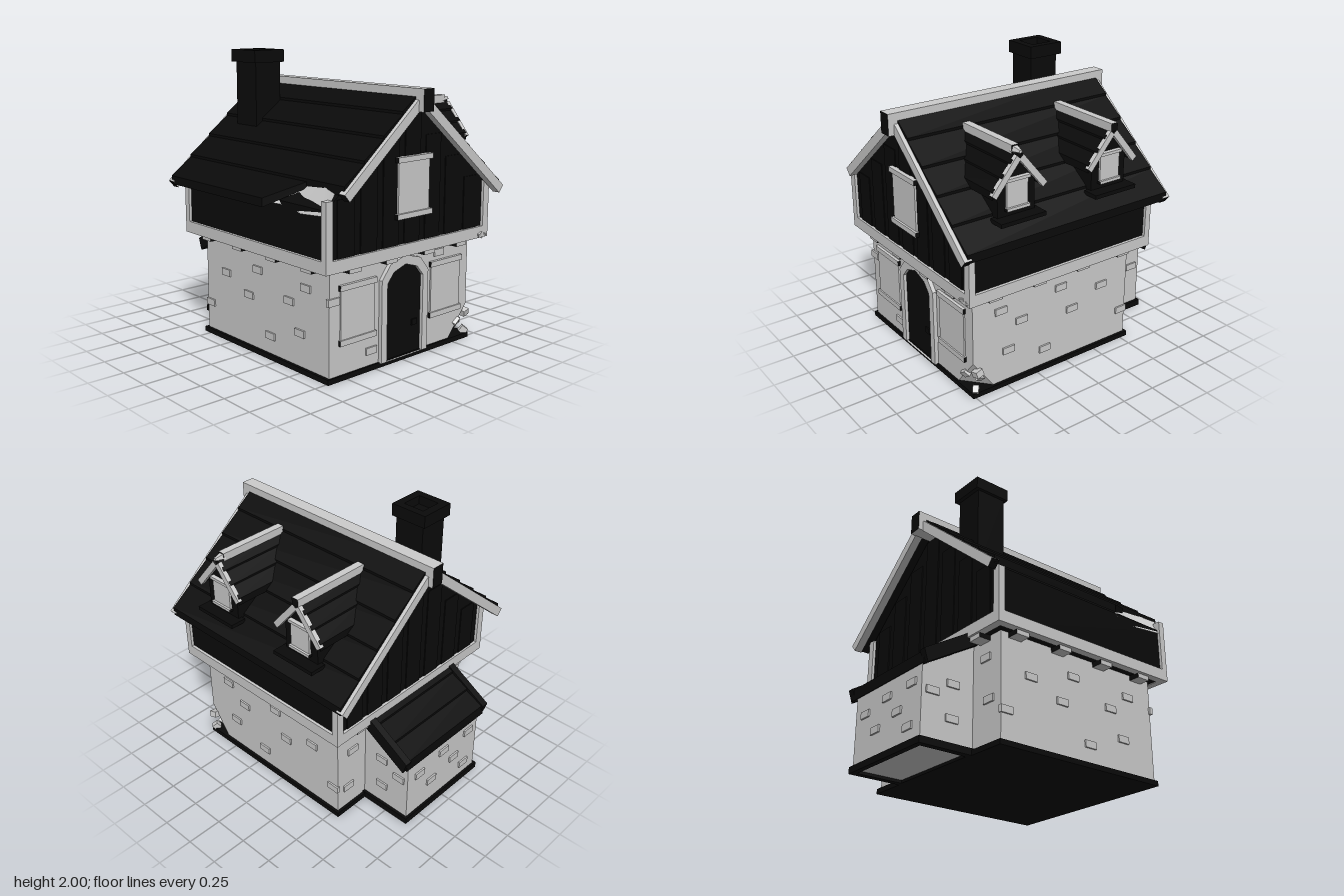
import * as THREE from 'three';
import { ConvexGeometry } from 'three/addons/geometries/ConvexGeometry.js';

const grey = new THREE.MeshStandardMaterial({ color: 0xcccccc, flatShading: true });
const greyThin = new THREE.MeshStandardMaterial({ color: 0xcccccc, side: THREE.DoubleSide });
const dark = new THREE.MeshStandardMaterial({ color: 0x0a0a0a, flatShading: true });

const SLOPE = 0.84;
const ANGLE = Math.atan(SLOPE);
const roofY = (x) => 1.795 - SLOPE * Math.abs(x);

export function createModel() {
  const house = new THREE.Group();
  house.name = 'cottage';

  const add = (name, geometry, material, parent = house) => {
    const mesh = new THREE.Mesh(geometry, material);
    mesh.name = name;
    parent.add(mesh);
    return mesh;
  };
  // box given by its limits on each axis
  const block = (name, mat, x0, x1, y0, y1, z0, z1, parent) => {
    const m = add(name, new THREE.BoxGeometry(x1 - x0, y1 - y0, z1 - z0), mat, parent);
    m.position.set((x0 + x1) / 2, (y0 + y1) / 2, (z0 + z1) / 2);
    return m;
  };
  // grey timber with dark end grain on one axis (0 = x, 1 = y, 2 = z)
  const endGrain = (axis) => [0, 1, 2, 3, 4, 5].map((f) => (f >> 1 === axis ? dark : grey));
  const beam = (name, axis, ...limits) => block(name, endGrain(axis), ...limits);
  // outline in (a, b) extruded along z
  const prism = (points, z0, z1, hole) => {
    const shape = new THREE.Shape(points.map((p) => new THREE.Vector2(...p)));
    if (hole) shape.holes.push(new THREE.Path(hole.map((p) => new THREE.Vector2(...p))));
    return new THREE.ExtrudeGeometry(shape, { depth: z1 - z0, bevelEnabled: false }).translate(0, 0, z0);
  };
  const rect = (x0, x1, y0, y1) => [[x0, y0], [x1, y0], [x1, y1], [x0, y1]];

  // Ground floor: stone box with a chipped front corner
  block('baseSlab', dark, -0.66, 0.66, 0, 0.035, -0.56, 0.77);
  const corners = [];
  for (const x of [-0.64, 0.64]) for (const y of [0.03, 0.75]) for (const z of [-0.54, 0.757])
    if (!(x > 0 && y < 0.1 && z > 0)) corners.push(new THREE.Vector3(x, y, z));
  corners.push(new THREE.Vector3(0.46, 0.03, 0.757), new THREE.Vector3(0.64, 0.25, 0.757), new THREE.Vector3(0.64, 0.03, 0.6));
  add('stoneWalls', new ConvexGeometry(corners), grey);

  // Rubble at the chipped corner and beneath the broken upper beam
  [[0.54, 0.14, 0.74, 0.06, 0.5], [0.65, 0.18, 0.73, 0.055, 0.2], [0.64, 0.05, 0.74, 0.05, 0.9], [0.61, 0.12, 0.69, 0.05, 1.3],
    [0.66, 0.76, 0.83, 0.04, 0.3], [0.71, 0.755, 0.82, 0.045, 1.1]].forEach(([x, y, z, s, r]) => {
    const rock = add('rubble', new THREE.BoxGeometry(s, s * 0.8, s), grey);
    rock.position.set(x, y, z);
    rock.rotation.set(r, r * 0.7, r);
  });

  // Stones standing out of the walls
  const stoneX = (x, y, z) => block('wallStone', grey, x - 0.012, x + 0.012, y - 0.024, y + 0.024, z - 0.046, z + 0.046);
  const stoneZ = (x, y, z) => block('wallStone', grey, x - 0.046, x + 0.046, y - 0.024, y + 0.024, z - 0.012, z + 0.012);
  for (const [z, y] of [[0.54, 0.57], [0.375, 0.45], [0.05, 0.585], [0.48, 0.26], [0.18, 0.16], [-0.05, 0.39], [-0.305, 0.49], [-0.5, 0.23]])
    for (const x of [-0.64, 0.64]) stoneX(x, y, z);
  for (const [x, y] of [[0.34, 0.675], [-0.61, 0.525], [-0.285, 0.135]]) stoneZ(x, y, 0.757);
  for (const [x, y] of [[-0.5, 0.6], [0.5, 0.5], [-0.53, 0.32], [0.54, 0.2]]) stoneZ(x, y, -0.54);

  // Arched doorway
  const arch = (w, spring, shoulder, top) =>
    [[-w, 0.03], [w, 0.03], [w, spring], [w * 0.65, shoulder], [0, top], [-w * 0.65, shoulder], [-w, spring]];
  add('doorSurround', prism(arch(0.215, 0.585, 0.68, 0.72), 0.74, 0.785, arch(0.165, 0.557, 0.625, 0.66)), grey);
  add('door', prism(arch(0.168, 0.557, 0.627, 0.663), 0.74, 0.762), dark);
  block('doorHandle', dark, 0.08, 0.13, 0.22, 0.26, 0.755, 0.772);

  // Ground-floor windows
  for (const s of [-1, 1]) {
    const c = s * 0.408;
    block('windowPanel', grey, c - 0.145, c + 0.145, 0.25, 0.6, 0.74, 0.768);
    for (const y of [0.23, 0.585]) beam('windowSill', 0, c - 0.157, c + 0.157, y, y + 0.037, 0.735, 0.778);
  }

  // Joist ends under the overhang
  for (const x of [-0.49, -0.175, 0.175, 0.49])
    for (const [z0, z1] of [[0.74, 0.83], [-0.625, -0.53]])
      if (z0 > 0 || Math.abs(x) > 0.4) beam('joist', 0, x - 0.05, x + 0.05, 0.705, 0.74, z0, z1);
  for (const s of [-1, 1]) for (const z of [0.63, 0.28, -0.08, -0.43]) {
    const [a, b] = [s * 0.63, s * 0.72].sort((p, q) => p - q);
    beam('joist', 2, a, b, 0.705, 0.74, z - 0.05, z + 0.05);
  }

  // Upper floor: boarded gable body in a timber frame
  add('gableBody', prism([[-0.725, 0.74], [0.725, 0.74], [0.725, 1.12], [0, 1.73], [-0.725, 1.12]], -0.62, 0.825), dark);
  for (const s of [-1, 1]) {
    const [a, b] = s > 0 ? [0.69, 0.745] : [-0.745, -0.69];
    block('sideBeam', grey, a, b, 0.735, 0.815, -0.64, 0.845);
    for (const [z0, z1] of [[0.8, 0.845], [-0.64, -0.595]]) block('cornerPost', grey, a, b, 0.735, s < 0 && z0 > 0 ? 1.18 : 1.13, z0, z1);
  }
  for (const [z0, z1] of [[0.79, 0.845], [-0.64, -0.585]]) block('crossBeam', grey, -0.745, 0.745, 0.735, 0.815, z0, z1);
  for (let i = -3; i <= 3; i++) // raised boards on both gables
    for (const z of [0.825, -0.62])
      block('gableBoard', dark, i * 0.19 - 0.07, i * 0.19 + 0.07, 0.8, roofY(Math.abs(i * 0.19) + 0.07) - 0.08, z - 0.006, z + 0.006);

  // Gable window
  block('gableWindowPanel', grey, -0.14, 0.14, 1.0, 1.36, 0.81, 0.845);
  for (const y of [0.985, 1.345]) beam('gableWindowSill', 0, -0.158, 0.158, y, y + 0.035, 0.81, 0.86);

  // Main roof: overlapping board rows, torn at the lower front on the right-hand side
  for (const s of [-1, 1]) for (let i = 0; i < 5; i++) {
    const x0 = i * 0.16, x1 = x0 + 0.16;
    const pts = [[s * x0, roofY(x0) - 0.05], [s * x1, roofY(x1) - 0.05], [s * x1, roofY(x1) + 0.008], [s * x0, roofY(x0) - 0.01]];
    const geo = prism(pts, -0.72, 0.888);
    if (s < 0 && i === 4) {
      const p = geo.attributes.position;
      for (let k = 0; k < p.count; k++) if (p.getZ(k) > 0.5) p.setZ(k, Math.abs(p.getX(k)) > 0.7 ? 0.31 : 0.55);
      geo.computeVertexNormals();
    }
    add('roofRow', geo, dark);
  }
  // Splintered strip along the tear: two uneven rails joined by faces
  const outer = [[-0.79, 1.11, 0.3], [-0.7, 1.09, 0.45], [-0.735, 1.07, 0.6], [-0.74, 1.09, 0.83]];
  const inner = [[-0.74, 1.17, 0.32], [-0.615, 1.26, 0.54], [-0.635, 1.24, 0.7], [-0.67, 1.22, 0.84]];
  const tear = new THREE.BufferGeometry();
  tear.setAttribute('position', new THREE.Float32BufferAttribute([...outer, ...inner].flat(), 3));
  const faces = [];
  for (let i = 0; i < 3; i++) faces.push(i, i + 1, i + 4, i + 1, i + 5, i + 4);
  tear.setIndex(faces);
  tear.computeVertexNormals();
  add('tornRoofEdge', tear, greyThin);

  // Ridge and gable boards
  beam('ridgeBeam', 2, -0.046, 0.046, 1.66, 1.803, -0.78, 0.955);
  for (const s of [-1, 1]) for (const z of [0.888, -0.718]) {
    const end = s < 0 && z > 0 ? 0.64 : 0.79;
    const mid = (0.03 + end) / 2;
    const board = add('gableEdgeBoard', new THREE.BoxGeometry((end - 0.03) / Math.cos(ANGLE), 0.062, 0.055), endGrain(0));
    board.position.set(s * mid, 1.735 - SLOPE * mid, z);
    board.rotation.z = -s * ANGLE;
  }

  // Chimney with an open cap
  block('chimneyShaft', dark, -0.37, -0.16, 1.3, 1.94, -0.52, -0.3);
  add('chimneyCap', prism(rect(-0.392, -0.138, 0.28, 0.548), 1.915, 2, rect(-0.34, -0.19, 0.335, 0.49)).rotateX(-Math.PI / 2), dark);

  // Dormers, built facing +z in their own frame, then turned to face +x
  for (const [zc, broken] of [[0.457, true], [-0.283, false]]) {
    const dormer = new THREE.Group();
    dormer.name = 'dormer';
    dormer.rotation.y = Math.PI / 2;
    dormer.position.z = zc;
    house.add(dormer);
    // push the back end onto the main roof slope
    const fit = (geo) => {
      const p = geo.attributes.position;
      for (let k = 0; k < p.count; k++) if (p.getZ(k) < 0.3) p.setZ(k, (1.78 - p.getY(k)) / SLOPE);
      geo.computeVertexNormals();
      return geo;
    };
    add('dormerBody', fit(prism([[-0.14, 1.22], [0.14, 1.22], [0.14, 1.45], [0, 1.62], [-0.14, 1.45]], 0, 0.69)), dark, dormer);
    for (const s of [-1, 1]) {
      for (let i = 0; i < 3; i++) {
        const a = i * 0.065, b = a + 0.065;
        const y = (t) => 1.668 - 1.2 * t;
        add('dormerRoofRow', fit(prism([[s * a, y(a) - 0.045], [s * b, y(b) - 0.045], [s * b, y(b) + 0.006], [s * a, y(a) - 0.008]], 0, 0.72 + 0.006 * (i % 2))), dark, dormer);
      }
      const board = add('dormerEdgeBoard', new THREE.BoxGeometry(0.285, 0.042, 0.03), endGrain(0), dormer);
      board.position.set(s * 0.1, 1.517, 0.717);
      board.rotation.z = -s * Math.atan(1.2);
    }
    const ridge = beam('dormerRidge', 2, -0.026, 0.026, 1.635, 1.69, 0.155, broken ? 0.68 : 0.735, dormer);
    if (broken) {
      ridge.name = 'brokenDormerRidge';
      const stub = add('ridgeSplinter', new THREE.CylinderGeometry(0.012, 0.032, 0.07, 5), grey, dormer);
      stub.position.set(0, 1.66, 0.7);
      stub.rotation.x = Math.PI / 2;
    }
    block('dormerWindowPanel', grey, -0.08, 0.08, 1.29, 1.49, 0.68, 0.705, dormer);
    for (const y of [1.285, 1.475]) beam('dormerWindowSill', 0, -0.088, 0.088, y, y + 0.02, 0.68, 0.72, dormer);
    block('dormerLedge', dark, -0.17, 0.17, 1.22, 1.247, 0.66, 0.775, dormer);
  }

  // Rear lean-to: side profiles in (-z, y) are turned so they run along x
  const alongX = (points, x0, x1) => prism(points, x0, x1).rotateY(Math.PI / 2);
  add('leanToWalls', alongX([[0.53, 0.02], [0.92, 0.02], [0.92, 0.52], [0.53, 0.74]], -0.37, 0.37), grey);
  add('leanToBase', prism(rect(-0.39, 0.39, 0.54, 0.937), 0, 0.045, rect(-0.345, 0.345, 0.57, 0.9)).rotateX(-Math.PI / 2), dark);
  for (let i = 0; i < 3; i++) {
    const a = 0.54 + i * 0.133, b = a + 0.133;
    const y = (t) => 0.815 - 0.62 * (t - 0.54);
    add('leanToRoofRow', alongX([[a, y(a) - 0.075], [b, y(b) - 0.075], [b, y(b) + 0.004], [a, y(a) - 0.014]], -0.41, 0.41), dark);
  }
  for (const x of [-0.435, 0.385])
    add('leanToEdgeBoard', alongX([[0.54, 0.72], [0.925, 0.49], [0.953, 0.575], [0.54, 0.825]], x, x + 0.05), dark);
  for (const s of [-1, 1]) for (const [z, y] of [[-0.695, 0.425], [-0.845, 0.35], [-0.7, 0.2]]) stoneX(s * 0.37, y, z);
  for (const [x, y] of [[0.25, 0.36], [0.12, 0.22], [0, 0.4], [-0.12, 0.27], [-0.27, 0.41], [-0.24, 0.14]]) stoneZ(x, y, -0.92);

  return house;
}
